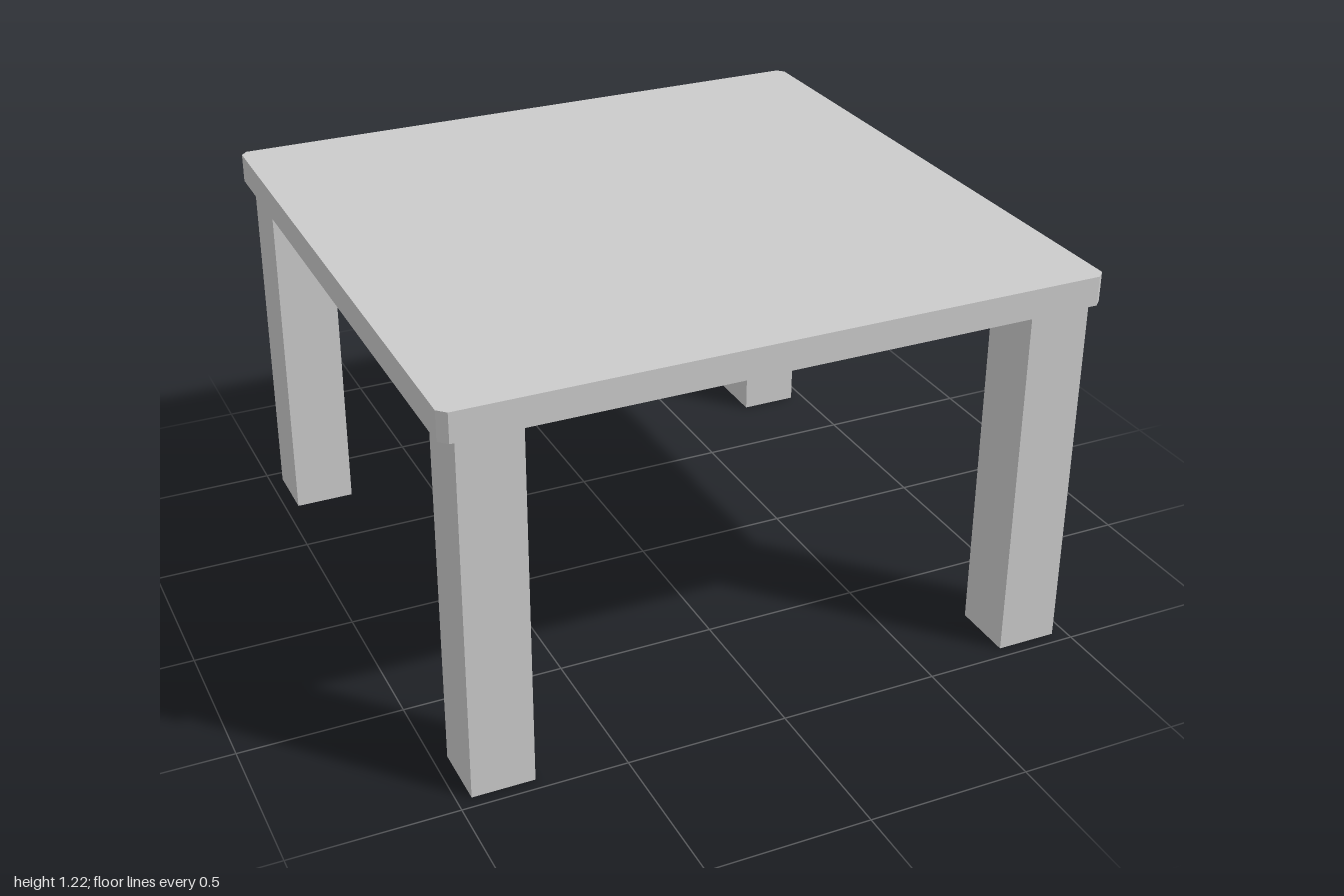
import * as THREE from 'three';

const TOP = 1.22, UNDERSIDE = 1.13;

export function createModel() {
  const table = new THREE.Group();
  table.name = 'table';
  const material = new THREE.MeshStandardMaterial({ color: 0xcccccc, flatShading: true });

  // Tabletop: slab with clipped corners, very slightly narrower at the back
  const half = [[0.975, 0.975], [1, 0.95], [0.99, -0.953], [0.97, -0.975]];
  const outline = [...half, ...half.map(([x, z]) => [-x, z]).reverse()];
  const shape = new THREE.Shape(outline.map(([x, z]) => new THREE.Vector2(x, -z)));
  const slab = new THREE.ExtrudeGeometry(shape, { depth: TOP - UNDERSIDE, bevelEnabled: false });
  slab.rotateX(-Math.PI / 2);
  const tabletop = new THREE.Mesh(slab, material);
  tabletop.name = 'tabletop';
  tabletop.position.y = UNDERSIDE;
  table.add(tabletop);

  // Four square legs, set just inside the corners
  const legGeometry = new THREE.BoxGeometry(0.19, UNDERSIDE, 0.2);
  for (const [end, z] of [['front', 0.861], ['back', -0.854]]) {
    for (const [side, x] of [['Left', 0.862], ['Right', -0.862]]) {
      const leg = new THREE.Mesh(legGeometry, material);
      leg.name = `${end}${side}Leg`;
      leg.position.set(x, UNDERSIDE / 2, z);
      table.add(leg);
    }
  }
  return table;
}
